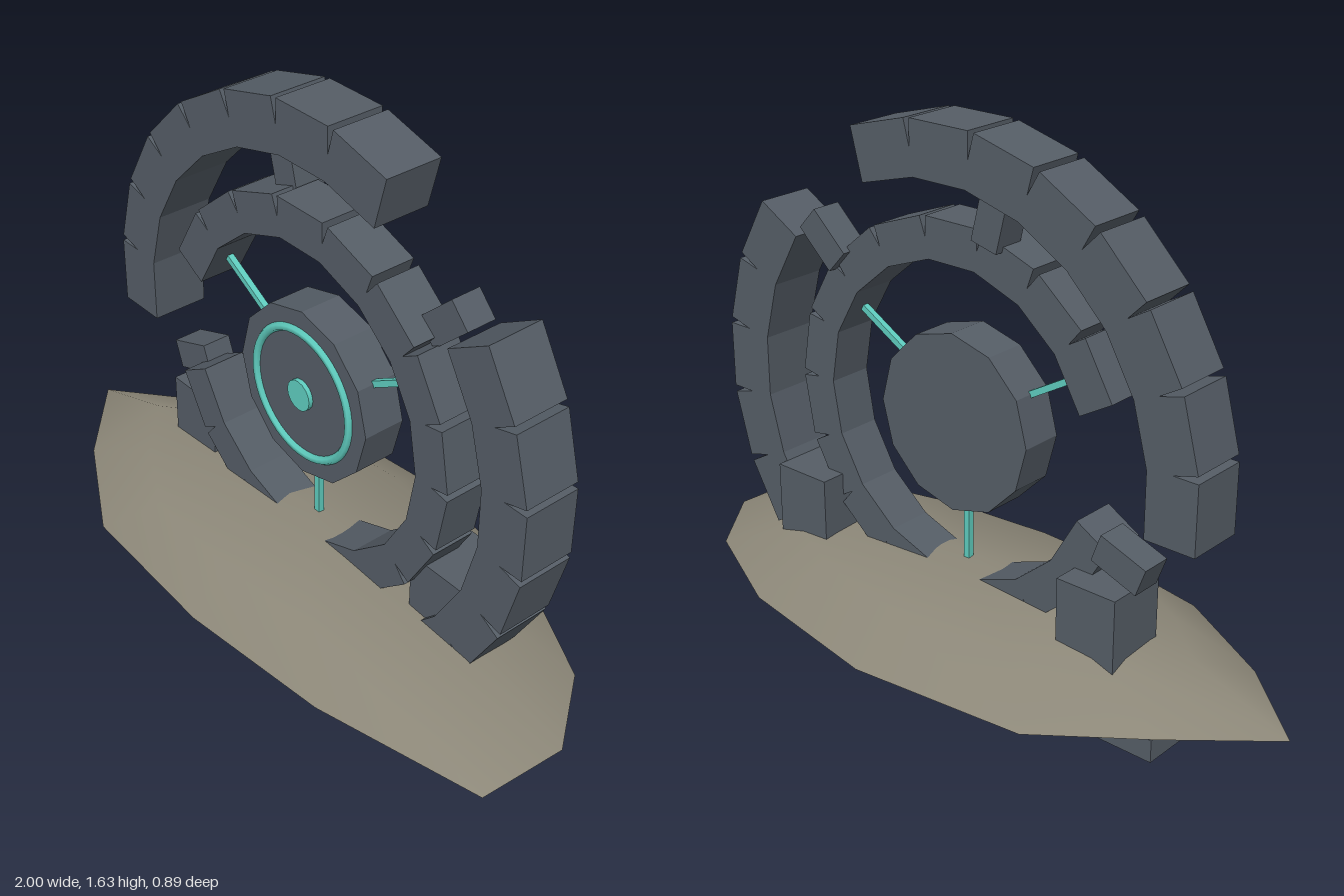
import * as THREE from 'three';

const mat = (name, color) => Object.assign(new THREE.MeshStandardMaterial({ color }), { name });

export function createModel() {
  const root = new THREE.Group();
  root.name = 'brokenRingStation';
  const hullMat = mat('weatheredStone', 0x8c8778);
  const ringMat = mat('slateGrey', 0x555d66);
  const glowMat = mat('teal', 0x5fcdbf);
  const CX = 0.04, CY = 0.82; // common centre of the rings

  const add = (name, geo, material, x, y, z, parent = root) => {
    const m = new THREE.Mesh(geo, material);
    m.name = name;
    m.position.set(x, y, z);
    parent.add(m);
    return m;
  };

  // Box placed at an angle on a circle round the ring centre
  const radialBox = (name, deg, radius, size, z, material, parent = root) => {
    const a = THREE.MathUtils.degToRad(deg);
    const m = add(name, new THREE.BoxGeometry(...size), material,
      CX + radius * Math.cos(a), CY + radius * Math.sin(a), z, parent);
    m.rotation.z = a;
  };

  // Hull: irregular rim, with an inset shoulder ring and an apex on each side
  const rim = [[-1, 0.02], [-0.75, -0.19], [-0.48, -0.395], [0.035, -0.448], [0.51, -0.36], [0.84, -0.195],
    [1, 0.02], [0.985, 0.28], [0.5, 0.4], [0.035, 0.442], [-0.44, 0.415], [-0.76, 0.235]];
  const hullHalf = (name, shoulderY, apexY, flip) => {
    const n = rim.length, pos = [], idx = [];
    rim.forEach(([x, z]) => pos.push(x, 0.245, z));
    rim.forEach(([x, z]) => pos.push(x * 0.7, shoulderY, z * 0.69 + 0.015));
    pos.push(CX, apexY, 0.015);
    const tri = (a, b, c) => (flip ? idx.push(a, c, b) : idx.push(a, b, c));
    for (let i = 0; i < n; i++) {
      const j = (i + 1) % n;
      tri(i, n + i, n + j);
      tri(i, n + j, j);
      tri(n + i, 2 * n, n + j);
    }
    const g = new THREE.BufferGeometry();
    g.setAttribute('position', new THREE.Float32BufferAttribute(pos, 3));
    g.setIndex(idx);
    g.computeVertexNormals();
    add(name, g, hullMat, 0, 0, 0);
  };
  hullHalf('upperHull', 0.352, 0.4, false);
  hullHalf('lowerHull', 0.138, 0.09, true);

  // Segmented rings with missing blocks
  const ring = (name, count, offset, missing, radius, size, z) => {
    const group = new THREE.Group();
    group.name = name;
    root.add(group);
    for (let i = 0; i < count; i++) {
      const deg = offset + (i * 360) / count;
      if (!missing.includes(deg)) radialBox(name + 'Block', deg, radius, size, z, ringMat, group);
    }
  };
  ring('outerRing', 24, 0, [45, 60, 195, 210, 225], 0.74, [0.15, 0.195, 0.17], -0.021);
  ring('innerRing', 18, 10, [170, 190], 0.498, [0.115, 0.175, 0.133], 0.005);

  // Short struts bridging the two rings
  for (const deg of [104, 43, 200]) radialBox('ringStrut', deg, 0.613, [0.15, 0.085, 0.09], -0.04, ringMat);

  // Pylons on the deck and footings under the hull
  for (const s of [-1, 1]) {
    add('pylon', new THREE.BoxGeometry(0.185, 0.32, 0.185), ringMat, CX + s * 0.515, 0.38, -0.0425);
    add('footing', new THREE.BoxGeometry(0.3, 0.065, 0.29), ringMat, CX + s * 0.603, 0.1775, -0.015);
  }

  // Twelve-sided hub with inlaid ring and core
  const hub = new THREE.CylinderGeometry(0.255, 0.255, 0.125, 12).toNonIndexed();
  hub.rotateX(Math.PI / 2);
  hub.computeVertexNormals();
  add('hub', hub, ringMat, CX, CY, 0.0025);
  add('hubRing', new THREE.TorusGeometry(0.19, 0.013, 6, 48), glowMat, CX, CY, 0.064);
  const core = new THREE.CylinderGeometry(0.045, 0.045, 0.02, 16).rotateX(Math.PI / 2);
  add('hubCore', core, glowMat, CX, CY, 0.068);

  // Spokes from hub to inner ring
  for (const deg of [30, 150, 270]) radialBox('spoke', deg, 0.345, [0.2, 0.018, 0.018], 0.005, glowMat);

  return root;
}
